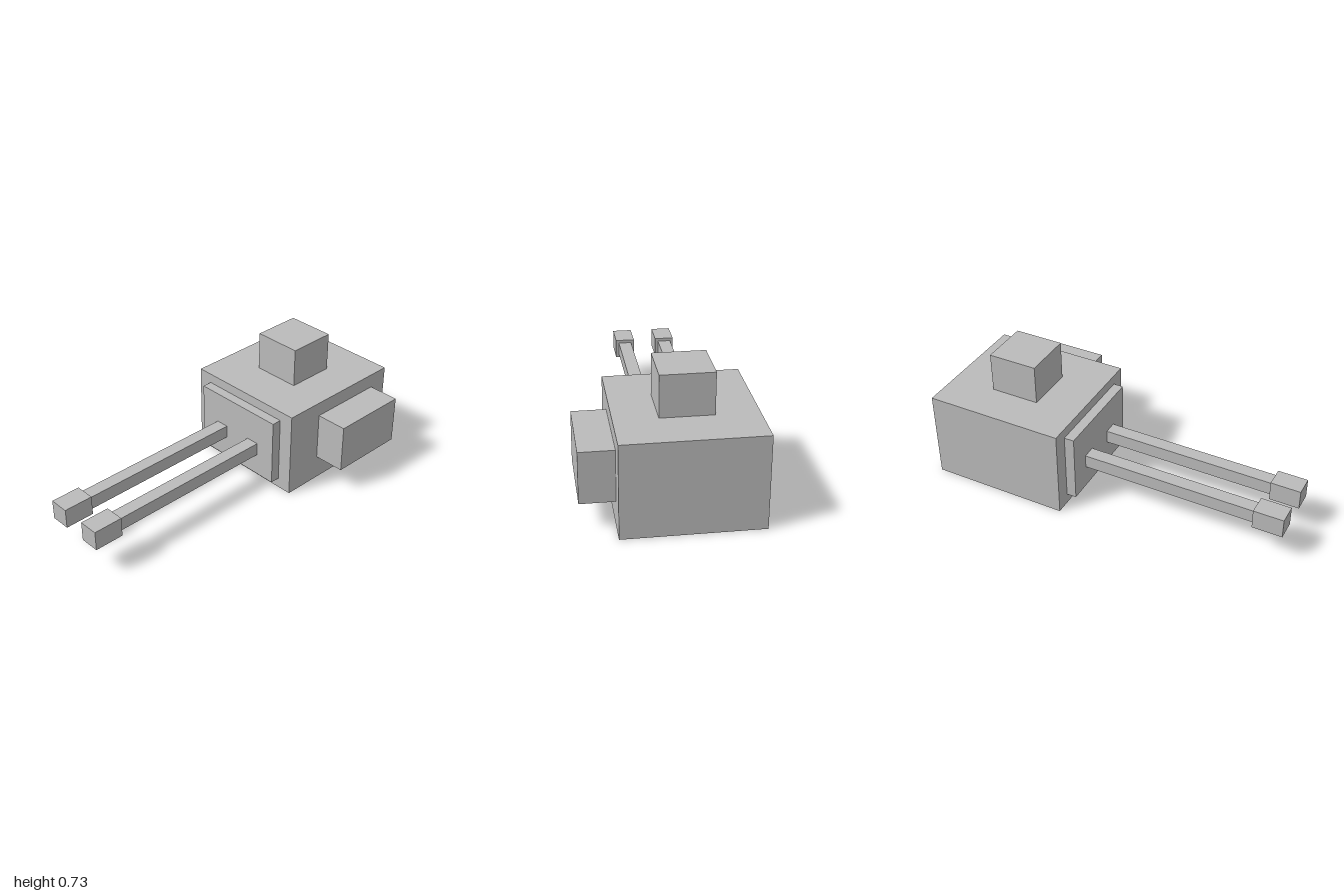
import * as THREE from 'three';

export function createModel() {
  const model = new THREE.Group();
  model.name = 'twinBarrelTurret';
  const grey = new THREE.MeshStandardMaterial({ color: 0xbbbbbb });
  grey.name = 'grey';

  // Adds a box spanning the given [min, max] ranges
  const box = (name, [x0, x1], [y0, y1], [z0, z1], parent = model) => {
    const mesh = new THREE.Mesh(new THREE.BoxGeometry(x1 - x0, y1 - y0, z1 - z0), grey);
    mesh.position.set((x0 + x1) / 2, (y0 + y1) / 2, (z0 + z1) / 2);
    mesh.name = name;
    parent.add(mesh);
  };

  // Turret housing with its front plate, top hatch and side box
  box('turretBody', [-0.457, 0.273], [0, 0.507], [-1, -0.213]);
  box('frontPlate', [-0.373, 0.188], [0.059, 0.451], [-0.213, -0.157]);
  box('topHatch', [-0.232, 0.047], [0.507, 0.733], [-0.746, -0.467]);
  box('sideBox', [0.273, 0.455], [0.144, 0.423], [-0.887, -0.437]);

  // Twin barrels, each with a wider muzzle
  for (const [side, x] of [['right', -0.216], ['left', 0.031]]) {
    const gun = new THREE.Group();
    gun.name = side + 'Gun';
    box(side + 'Barrel', [x - 0.038, x + 0.038], [0.189, 0.265], [-0.157, 0.832], gun);
    box(side + 'Muzzle', [x - 0.056, x + 0.056], [0.171, 0.283], [0.832, 1], gun);
    model.add(gun);
  }

  return model;
}
